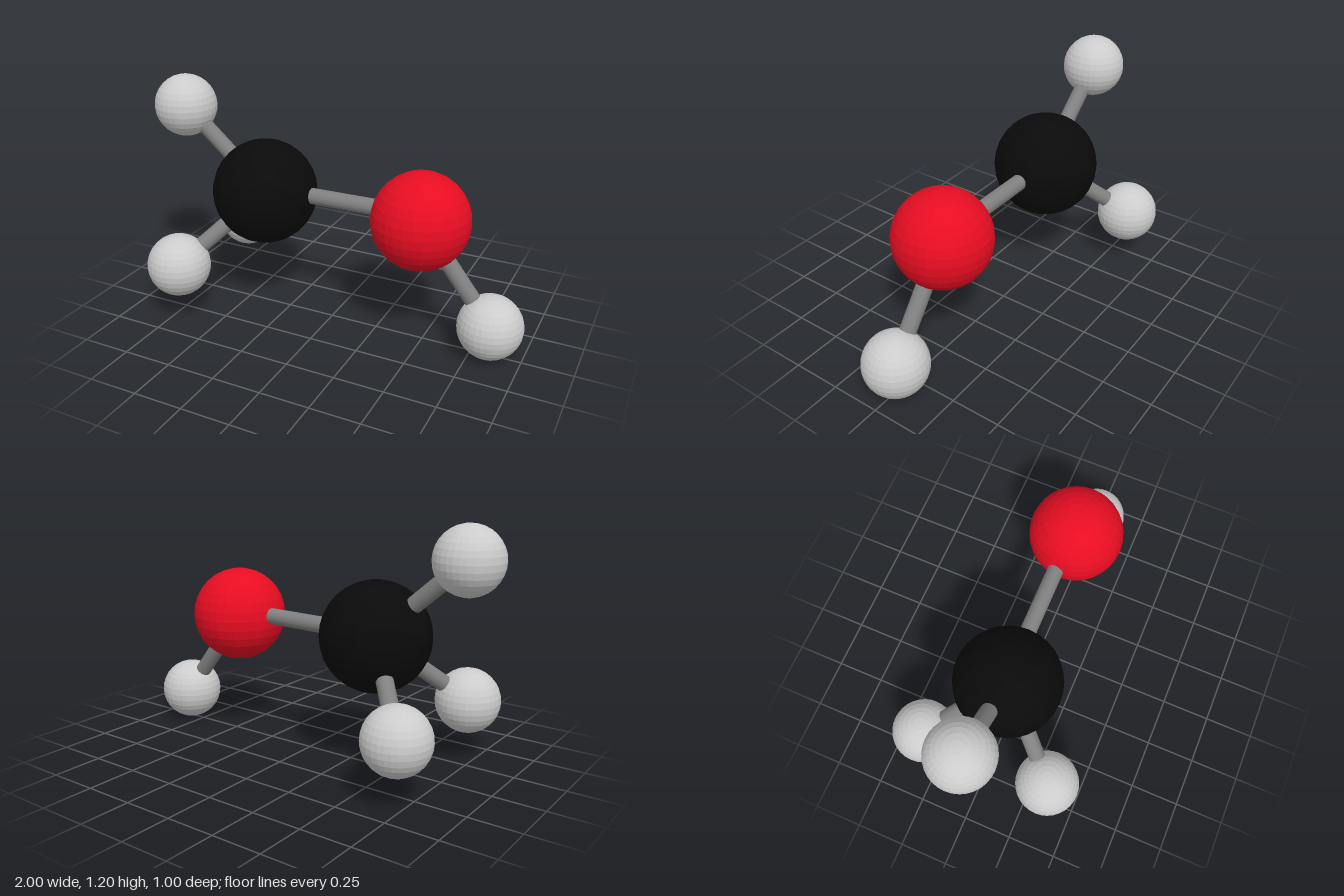
import * as THREE from 'three';

const V = (x, y, z) => new THREE.Vector3(x, y, z);
const material = (color) => new THREE.MeshStandardMaterial({ color, flatShading: true });

const materials = {
  black: material(0x0a0a0a),
  red: material(0xe80d22),
  light: material(0xcccccc),
  bond: material(0x808080),
};

function atom(name, position, radius, mat) {
  const mesh = new THREE.Mesh(new THREE.SphereGeometry(radius, 32, 16), mat);
  mesh.name = name;
  mesh.position.copy(position);
  return mesh;
}

// Cylinder rod running between two points
function bond(name, from, to) {
  const dir = to.clone().sub(from);
  const mesh = new THREE.Mesh(new THREE.CylinderGeometry(0.041, 0.041, dir.length(), 24), materials.bond);
  mesh.name = name;
  mesh.position.copy(from).add(to).multiplyScalar(0.5);
  mesh.quaternion.setFromUnitVectors(V(0, 1, 0), dir.normalize());
  return mesh;
}

export function createModel() {
  const model = new THREE.Group();
  model.name = 'moleculeModel';

  // Heavy atoms and the rod joining them
  const carbon = V(-0.382, 0.642, 0);
  const oxygen = V(0.467, 0.643, 0.008);
  model.add(atom('carbonAtom', carbon, 0.268, materials.black));
  model.add(atom('oxygenAtom', oxygen, 0.24, materials.red));
  model.add(bond('carbonOxygenBond', V(-0.36, 0.654, -0.01), V(0.45, 0.662, -0.01)));

  // Hydrogens, each tied to its parent atom
  const hydrogens = [
    ['upper', V(-0.84, 1.04, 0), carbon],
    ['lowerFront', V(-0.705, 0.302, 0.34), carbon],
    ['lowerBack', V(-0.705, 0.302, -0.34), carbon],
    ['end', V(0.838, 0.162, 0.005), oxygen],
  ];
  for (const [name, position, parent] of hydrogens) {
    model.add(atom(name + 'HydrogenAtom', position, 0.16, materials.light));
    model.add(bond(name + 'HydrogenBond', parent, position));
  }
  return model;
}
